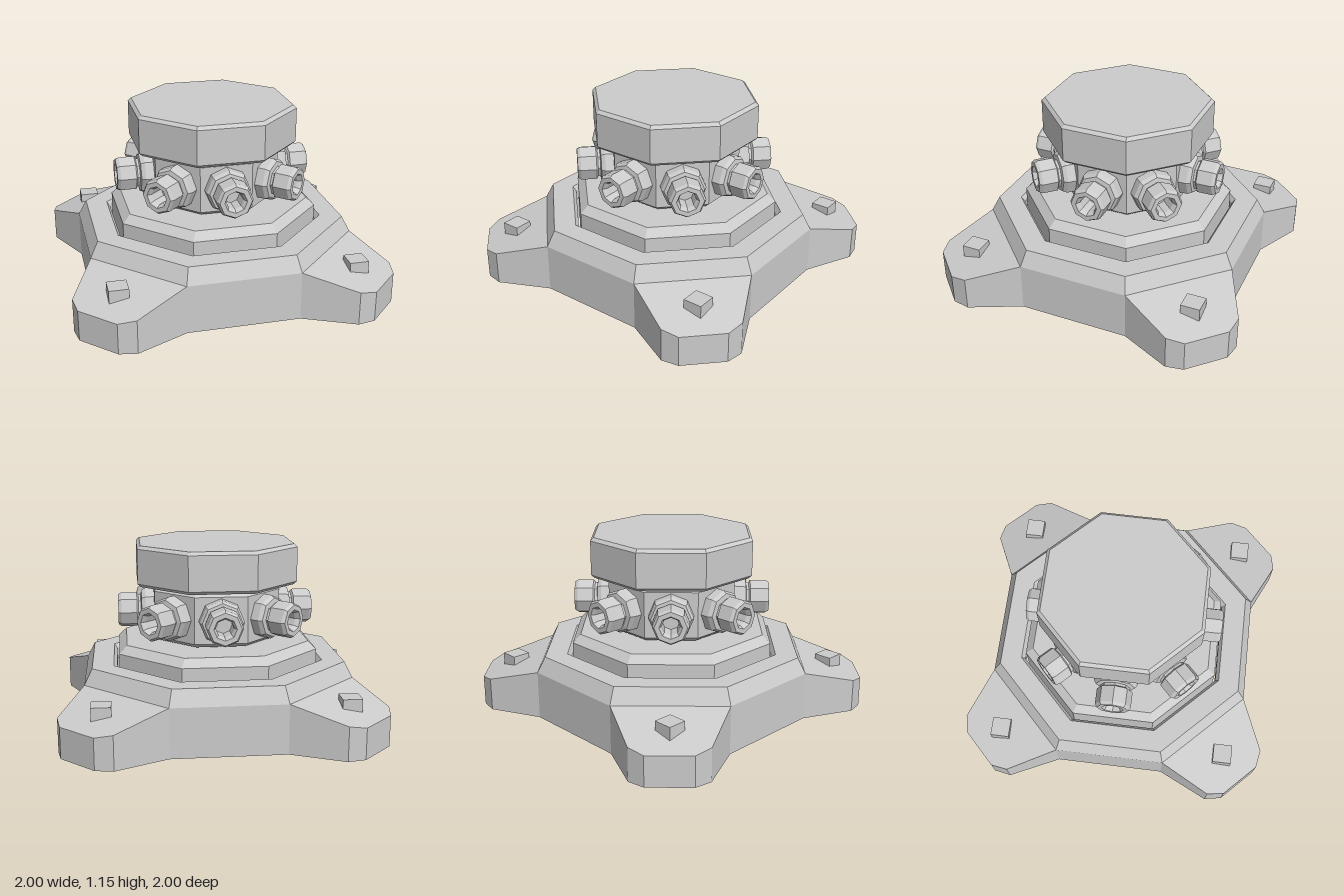
import * as THREE from 'three';

const solid = new THREE.MeshStandardMaterial({ color: 0xcccccc, flatShading: true });
const sheet = new THREE.MeshStandardMaterial({ color: 0xcccccc, flatShading: true, side: THREE.DoubleSide });

// Eight-sided turned part; each profile point is [half width across flats, height].
function octagon(name, profile, material = solid) {
  const k = 1 / Math.cos(Math.PI / 8);
  const pts = profile.map(([r, y]) => new THREE.Vector2(r * k, y));
  const mesh = new THREE.Mesh(new THREE.LatheGeometry(pts, 8, Math.PI / 8), material);
  mesh.name = name;
  return mesh;
}

// Hollow outer skirt: vertical walls all round and four sloping corner feet.
function skirt() {
  const corner = [[0.352, 0.85], [0.67, 1.0], [0.78, 0.98], [0.98, 0.78], [1.0, 0.67], [0.85, 0.352]];
  const height = ([x, z]) => 0.31 - 0.29 * Math.max(0, (x + z) / Math.SQRT2 - 0.85);
  const outline = [];
  const pos = [];
  for (let q = 0; q < 4; q++) {
    const a = q * Math.PI / 2, c = Math.cos(a), s = Math.sin(a);
    const foot = corner.map((p) => [p[0] * c + p[1] * s, height(p), -p[0] * s + p[1] * c]);
    // sloping top of the foot
    for (let i = 1; i < foot.length - 1; i++) pos.push(...foot[0], ...foot[i], ...foot[i + 1]);
    outline.push(...foot);
  }
  outline.forEach((p, i) => {
    const n = outline[(i + 1) % outline.length];
    const p0 = [p[0], 0, p[2]], n0 = [n[0], 0, n[2]];
    pos.push(...p0, ...n0, ...n, ...p0, ...n, ...p);
  });
  const geo = new THREE.BufferGeometry();
  geo.setAttribute('position', new THREE.Float32BufferAttribute(pos, 3));
  geo.computeVertexNormals();
  const mesh = new THREE.Mesh(geo, sheet);
  mesh.name = 'footedSkirt';
  return mesh;
}

// Flanged nozzle with a blind bore, pointing along +z.
function nozzleGeometry() {
  const profile = [
    [0.12, 0.36], [0.14, 0.385], [0.14, 0.455], [0.125, 0.48], [0.095, 0.485], [0.095, 0.5],
    [0.113, 0.51], [0.113, 0.61], [0.1, 0.63], [0.07, 0.63], [0.055, 0.6], [0.055, 0.5], [0, 0.5],
  ].map(([r, y]) => new THREE.Vector2(r, y));
  return new THREE.LatheGeometry(profile, 8).rotateX(Math.PI / 2);
}

export function createModel() {
  const model = new THREE.Group();
  model.name = 'nozzleTurretBase';

  // base
  model.add(skirt());
  model.add(octagon('collar', [[0.85, 0.31], [0.8, 0.41], [0.665, 0.41], [0.645, 0.38], [0.645, 0.31]], sheet));
  model.add(octagon('pedestal', [[0, 0], [0.63, 0], [0.63, 0.48], [0.58, 0.53], [0, 0.53]]));

  // studs on the feet
  const studs = new THREE.Group();
  studs.name = 'footStuds';
  const studGeo = new THREE.BoxGeometry(0.12, 0.11, 0.12);
  for (const x of [-1, 1]) for (const z of [-1, 1]) {
    const stud = new THREE.Mesh(studGeo, solid);
    stud.name = 'footStud';
    stud.position.set(x * 0.74, 0.255, z * 0.74);
    studs.add(stud);
  }
  model.add(studs);

  // turret
  model.add(octagon('neck', [[0.3, 0.52], [0.3, 0.56]]));
  model.add(octagon('drum', [[0, 0.54], [0.37, 0.54], [0.4, 0.565], [0.4, 0.86], [0.38, 0.88], [0, 0.88]]));
  model.add(octagon('upperNeck', [[0.3, 0.87], [0.3, 0.91]]));
  model.add(octagon('cap', [[0, 0.895], [0.485, 0.895], [0.505, 0.915], [0.505, 1.135], [0.485, 1.155], [0, 1.155]]));

  // ring of nozzles
  const nozzles = new THREE.Group();
  nozzles.name = 'nozzles';
  const nozzleGeo = nozzleGeometry();
  for (let i = 0; i < 8; i++) {
    const nozzle = new THREE.Mesh(nozzleGeo, solid);
    nozzle.name = 'nozzle';
    nozzle.position.y = 0.712;
    nozzle.rotation.y = i * Math.PI / 4;
    nozzles.add(nozzle);
  }
  model.add(nozzles);
  return model;
}
